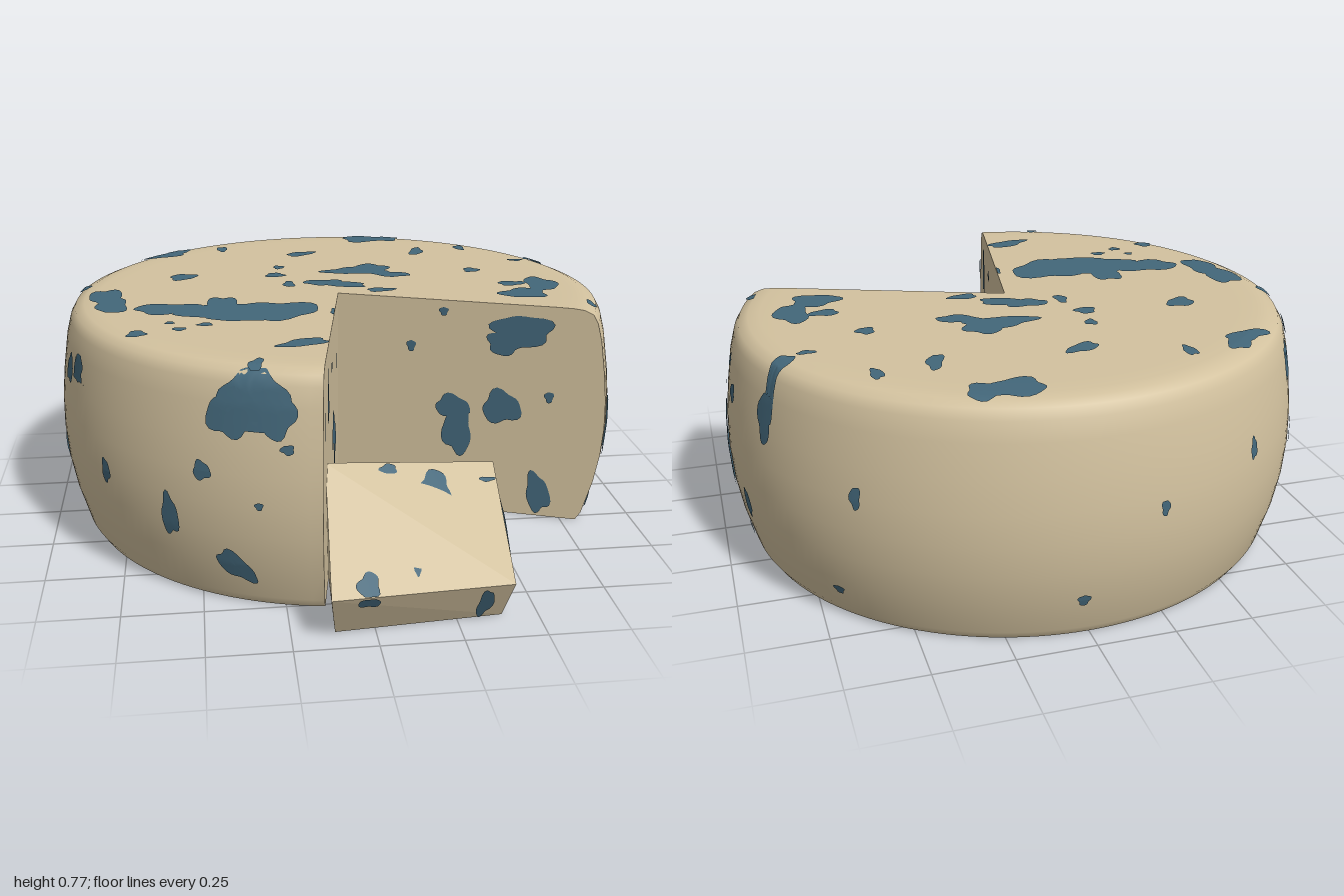
import * as THREE from 'three';
import { mergeGeometries } from 'three/addons/utils/BufferGeometryUtils.js';
import { ConvexGeometry } from 'three/addons/geometries/ConvexGeometry.js';

const A = 0.96, B = 0.92, APEX = -0.02, SHIFT = -0.06, LIFT = 0.005;
const PHI0 = 1.14, PHI1 = Math.PI * 2 - 0.1506;
// Rind profile: share of the full radius, height
const PROFILE = [[0.92, 0], [0.94, 0.03], [0.975, 0.15], [0.993, 0.25], [1, 0.35], [0.997, 0.45],
  [0.985, 0.55], [0.967, 0.66], [0.95, 0.72], [0.932, 0.75], [0.9, 0.763], [0.86, 0.767], [0.8, 0.768], [0, 0.768]];

const ring = (phi, s, y) => new THREE.Vector3(s * A * Math.sin(phi), y, APEX + s * (SHIFT + B * Math.cos(phi)));
const cutDir = (phi) => ring(phi, 1, 0).sub(new THREE.Vector3(0, 0, APEX));
const interp = (rows, x, i, o) => {
  for (let k = 1; k < rows.length; k++) {
    const p = rows[k - 1], q = rows[k];
    if ((x - p[i]) * (x - q[i]) <= 0 && p[i] !== q[i]) return p[o] + (q[o] - p[o]) * (x - p[i]) / (q[i] - p[i]);
  }
  return x < rows[0][i] ? rows[0][o] : rows[rows.length - 1][o];
};

// Geometry from a grid of points: fn(i, j), columns i, rows j
function grid(nu, nv, fn) {
  const pos = [], idx = [];
  for (let j = 0; j <= nv; j++) for (let i = 0; i <= nu; i++) pos.push(...fn(i, j).toArray());
  for (let j = 0; j < nv; j++) for (let i = 0; i < nu; i++) {
    const a = j * (nu + 1) + i, b = a + nu + 1;
    idx.push(a, a + 1, b + 1, a, b + 1, b);
  }
  const g = new THREE.BufferGeometry();
  g.setAttribute('position', new THREE.Float32BufferAttribute(pos, 3));
  g.setIndex(idx);
  g.computeVertexNormals();
  return g;
}
const sweep = (profile) => grid(120, profile.length - 1,
  (i, j) => ring(PHI0 + (PHI1 - PHI0) * i / 120, profile[j][0], profile[j][1]));

// Wavy-edged patches [u, v, halfWidth, halfHeight, tilt] laid on a surface map(u, v)
function patches(list, map) {
  return mergeGeometries(list.map(([u, v, w, h, tilt = 0], n) => grid(28, 4, (i, j) => {
    const t = i / 28 * Math.PI * 2, k = n * 1.7 + u * 9;
    const r = (1 - j / 4) * (1 + 0.14 * Math.sin(3 * t + k) + 0.08 * Math.sin(5 * t + 2 * k));
    const x = r * w * Math.cos(t), y = r * h * Math.sin(t), c = Math.cos(tilt), s = Math.sin(tilt);
    return map(u + x * c - y * s, v + x * s + y * c);
  })));
}

// Surface maps for the patches
const dirs = [PHI0, PHI1].map((p) => cutDir(p).normalize());
const normals = [new THREE.Vector3(-dirs[0].z, 0, dirs[0].x), new THREE.Vector3(dirs[1].z, 0, -dirs[1].x)];
function onTop(x, z) {
  const p = new THREE.Vector3(x, 0, z - APEX);
  const d = normals.map((n) => n.dot(p));
  if (d[0] > 0 && d[1] > 0) p.addScaledVector(normals[d[0] < d[1] ? 0 : 1], -Math.min(...d));
  let s = 0.5;
  for (let k = 0; k < 12; k++) s = Math.hypot(p.x / A, (p.z - SHIFT * s) / B);
  const sc = Math.min(s, 0.98);
  p.multiplyScalar(sc / Math.max(s, 1e-6));
  return p.set(p.x * 1.003, interp(PROFILE.slice(4), sc, 0, 1) + LIFT, p.z * 1.003 + APEX);
}
function onSide(u, y) {
  const yy = THREE.MathUtils.clamp(y, 0.005, 0.76);
  return ring(THREE.MathUtils.clamp(u, PHI0, PHI1), interp(PROFILE.slice(0, 12), yy, 1, 0) + LIFT, yy);
}
const onCut = (k) => (r, y) => new THREE.Vector3(0, Math.max(y, 0.004), APEX)
  .addScaledVector(dirs[k], r).addScaledVector(normals[k], LIFT);
function onQuad(a, b, c, d) {
  const n = b.clone().sub(a).cross(c.clone().sub(a)).normalize().multiplyScalar(LIFT);
  return (u, v) => {
    const s = THREE.MathUtils.clamp(u, 0, 1), t = THREE.MathUtils.clamp(v, 0, 1);
    return a.clone().lerp(b, s).lerp(c.clone().lerp(d, s), t).add(n);
  };
}

export function createModel() {
  const model = new THREE.Group();
  model.name = 'cutCheeseWheel';
  const cheese = new THREE.MeshStandardMaterial({ color: 0xd3c29f });
  cheese.name = 'cheese';
  const mould = new THREE.MeshStandardMaterial({ color: 0x43677a, side: THREE.DoubleSide });
  mould.name = 'blue mould';
  const add = (name, geo, mat, parent) => {
    const m = new THREE.Mesh(geo, mat);
    m.name = name;
    parent.add(m);
    return m;
  };

  // Wheel: rind with top, underside and the two cut faces
  const wheel = new THREE.Group();
  wheel.name = 'wheel';
  model.add(wheel);
  add('rind', sweep(PROFILE), cheese, wheel);
  add('underside', sweep([[0, 0], PROFILE[0]]), cheese, wheel);
  [PHI0, PHI1].forEach((phi, k) => {
    const d = cutDir(phi), sign = k ? -1 : 1, len = d.length() * sign;
    const pts = [[0, 0], ...PROFILE].map(([s, y]) => new THREE.Vector2(s * len, y));
    const face = add(k ? 'rightCutFace' : 'leftCutFace', new THREE.ShapeGeometry(new THREE.Shape(pts)), cheese, wheel);
    face.position.z = APEX;
    face.rotation.y = Math.atan2(-d.z * sign, d.x * sign);
  });

  // Mould on the top
  add('topMould', patches([
    [0.2, -0.81, 0.09, 0.06], [0.28, -0.81, 0.06, 0.05], [-0.6, -0.62, 0.09, 0.035, -0.4], [-0.55, -0.67, 0.05, 0.035, -0.9],
    [-0.38, -0.69, 0.02, 0.04], [-0.08, -0.58, 0.06, 0.03, -0.4], [0.37, -0.57, 0.025, 0.06, 0.3], [0.55, -0.61, 0.02, 0.04],
    [0.81, -0.43, 0.06, 0.03, -0.5], [0.52, -0.26, 0.03, 0.03], [0.1, -0.3, 0.12, 0.05], [0.16, -0.33, 0.06, 0.06],
    [0.21, -0.24, 0.08, 0.035, 0.4], [-0.04, -0.15, 0.07, 0.035], [0.04, -0.11, 0.07, 0.035, 0.2], [0.15, -0.03, 0.05, 0.025],
    [-0.2, -0.27, 0.035, 0.03], [-0.18, -0.38, 0.02, 0.025], [-0.53, -0.28, 0.05, 0.04, -0.5], [-0.16, -0.14, 0.02, 0.04],
    [-0.87, -0.21, 0.02, 0.035], [-0.79, -0.05, 0.055, 0.09], [-0.76, 0.06, 0.05, 0.09], [-0.58, 0.12, 0.11, 0.06],
    [-0.4, 0.17, 0.14, 0.08], [-0.22, 0.18, 0.13, 0.1], [-0.4, 0.08, 0.05, 0.08], [-0.34, 0.24, 0.1, 0.05]], onTop), mould, wheel);
  add('topMouldSpecks', patches([
    [-0.67, 0.38, 0.03, 0.03], [-0.54, 0.35, 0.022, 0.018], [-0.46, 0.31, 0.025, 0.018], [-0.57, 0.28, 0.015, 0.015],
    [-0.17, 0.53, 0.08, 0.035, -0.3], [-0.32, 0.69, 0.02, 0.035, 0.4], [-0.38, 0.77, 0.12, 0.035, 0.25], [0.63, 0.07, 0.08, 0.06],
    [0.72, -0.04, 0.055, 0.09], [0.62, -0.06, 0.05, 0.03], [-0.88, 0.27, 0.02, 0.06, -0.3], [-0.04, 0.22, 0.012, 0.04],
    [-0.79, -0.56, 0.02, 0.04, 0.8], [0.72, -0.39, 0.03, 0.015], [0.83, 0.19, 0.015, 0.03]], onTop), mould, wheel);

  // Mould on the rind, [angle, height, ...]; front spots placed by x, right-hand ones by z
  const fromX = ([x, y, w, h, t]) => {
    const phi = Math.asin(x / (A * 0.98));
    return [phi + Math.PI * 2, y, w / Math.cos(phi) / A, h, t];
  };
  const fromZ = ([z, y, w, h, t = 0]) => {
    const phi = Math.acos((z + 0.08) / (B * 0.98));
    return [phi, y, w / Math.sin(phi) / B, h, t];
  };
  add('rindMould', patches([
    ...[[-0.34, 0.68, 0.11, 0.08], [-0.41, 0.63, 0.06, 0.07], [-0.27, 0.64, 0.05, 0.07], [-0.87, 0.63, 0.012, 0.045],
      [-0.48, 0.45, 0.025, 0.03], [-0.58, 0.28, 0.025, 0.07], [-0.77, 0.35, 0.013, 0.04], [-0.4, 0.14, 0.065, 0.04, -0.6],
      [-0.24, 0.54, 0.02, 0.015], [-0.32, 0.36, 0.012, 0.012]].map(fromX),
    ...[[0.17, 0.31, 0.11, 0.09], [0.04, 0.26, 0.13, 0.1], [-0.07, 0.31, 0.08, 0.1], [-0.05, 0.45, 0.07, 0.06], [0.2, 0.36, 0.06, 0.05],
      [-0.44, 0.6, 0.035, 0.08], [-0.18, 0.58, 0.03, 0.03], [-0.3, 0.25, 0.025, 0.05], [-0.13, 0.06, 0.03, 0.02],
      [0.25, 0.06, 0.03, 0.025], [-0.74, 0.46, 0.012, 0.035], [-0.67, 0.11, 0.015, 0.015], [0.02, 0.53, 0.015, 0.015],
      [-0.1, 0.66, 0.02, 0.02], [0.1, 0.49, 0.015, 0.025]].map(fromZ),
    [4.21, 0.38, 0.045, 0.045], [3.75, 0.49, 0.018, 0.035], [3.35, 0.42, 0.015, 0.025], [3.1, 0.15, 0.02, 0.02],
    [4.5, 0.1, 0.025, 0.02], [4.76, 0.25, 0.06, 0.05], [5.0, 0.6, 0.04, 0.045], [4.35, 0.7, 0.05, 0.03]], onSide), mould, wheel);

  // Mould on the cut faces
  add('leftCutMould', patches([
    [0.64, 0.68, 0.1, 0.055], [0.58, 0.63, 0.06, 0.04], [0.58, 0.4, 0.065, 0.06], [0.41, 0.39, 0.06, 0.04], [0.43, 0.3, 0.05, 0.09],
    [0.72, 0.09, 0.04, 0.075, 0.2], [0.26, 0.6, 0.015, 0.02], [0.74, 0.45, 0.015, 0.02], [0.45, 0.12, 0.03, 0.05], [0.37, 0.73, 0.015, 0.015]],
  onCut(0)), mould, wheel);
  add('rightCutMould', patches([
    [0.4, 0.42, 0.07, 0.06], [0.33, 0.35, 0.06, 0.07], [0.67, 0.63, 0.03, 0.09], [0.49, 0.67, 0.022, 0.018],
    [0.82, 0.6, 0.018, 0.04], [0.28, 0.07, 0.03, 0.03], [0.7, 0.3, 0.03, 0.05], [0.24, 0.6, 0.02, 0.025]], onCut(1)), mould, wheel);

  // Loose chunk lying tilted in front of the gap
  const chunk = new THREE.Group();
  chunk.name = 'looseChunk';
  model.add(chunk);
  const V = (x, y, z) => new THREE.Vector3(x, y, z);
  const ridgeL = V(-0.115, 0.41, 0.61), ridgeR = V(0.435, 0.345, 0.515), noseL = V(-0.14, 0.155, 1), noseR = V(0.41, 0.14, 0.94);
  const footL = V(-0.12, 0, 0.91), footR = V(0.39, 0, 0.87), heelL = V(-0.1, 0, 0.52), heelR = V(0.39, 0, 0.43);
  add('chunkBody', new ConvexGeometry([ridgeL, ridgeR, noseL, noseR, footL, footR, heelL, heelR, V(0.43, 0, 0.47), V(0.42, 0.17, 0.47)]), cheese, chunk);
  add('chunkTopMould', patches([
    [0.62, 0.22, 0.09, 0.14], [0.57, 0.36, 0.07, 0.14], [0.2, 0.92, 0.06, 0.09], [0.47, 0.83, 0.02, 0.05], [0.94, 0.16, 0.05, 0.02],
    [0.36, 0.06, 0.05, 0.04]], onQuad(noseL, noseR, ridgeL, ridgeR).length ? ((m) => (u, v) => m(u, 1 - v))(onQuad(noseL, noseR, ridgeL, ridgeR)) : null), mould, chunk);
  add('chunkFrontMould', patches([[0.86, 0.5, 0.045, 0.42], [0.2, 0.9, 0.06, 0.15]], onQuad(footL, footR, noseL, noseR)), mould, chunk);
  add('chunkEndMould', patches([[0.45, 0.55, 0.1, 0.2], [0.4, 0.7, 0.06, 0.15], [0.6, 0.08, 0.05, 0.06], [0.5, 0.93, 0.25, 0.05]],
    onQuad(footR, V(0.43, 0, 0.47), noseR, ridgeR)), mould, chunk);
  add('chunkBackMould', patches([[0.6, 0.6, 0.06, 0.1], [0.3, 0.3, 0.04, 0.07]], onQuad(heelR, heelL, ridgeR, ridgeL)), mould, chunk);
  return model;
}
